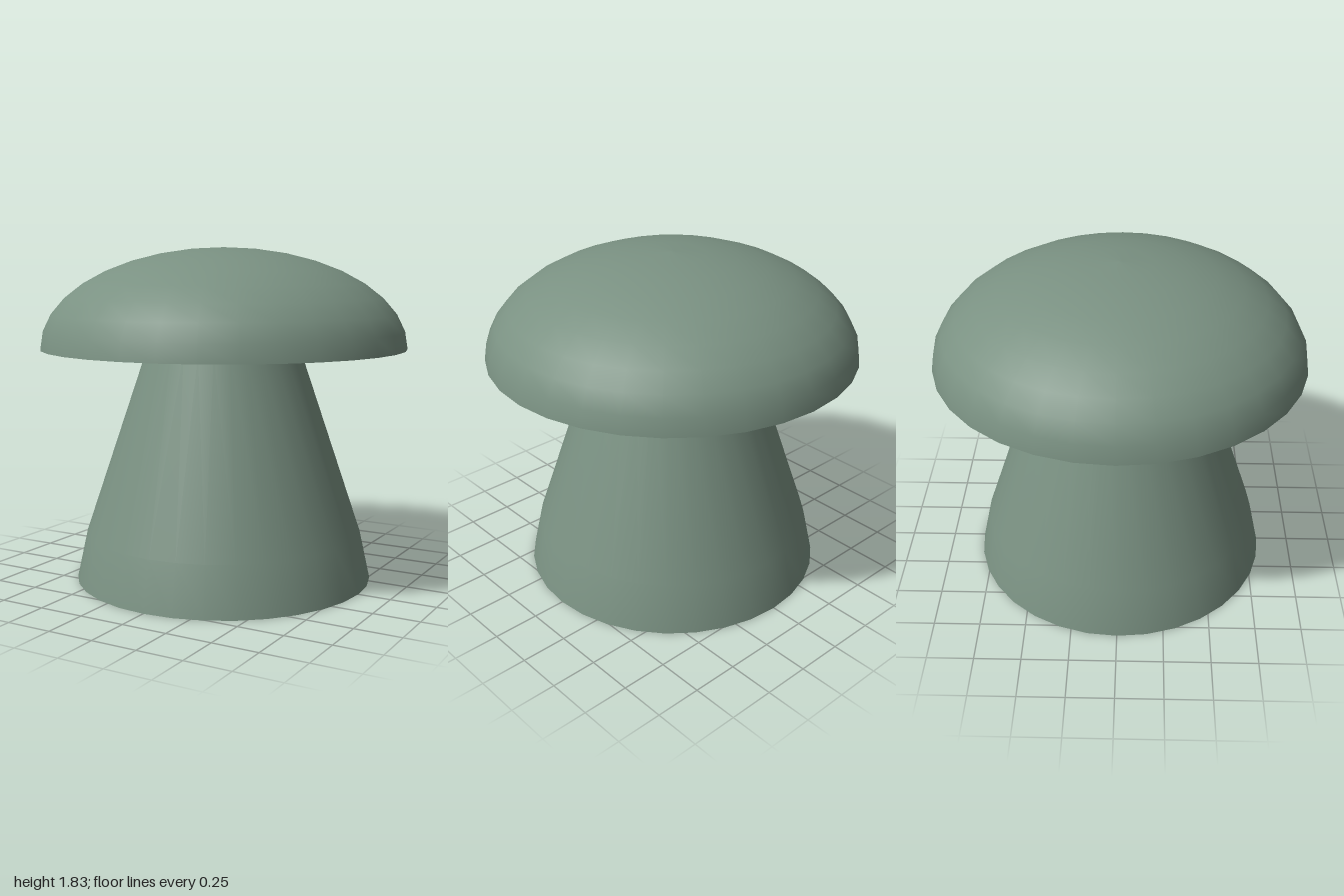
import * as THREE from 'three';

const SEGMENTS = 32;
const STEM_TOP = 1.28;
const CAP_HEIGHT = 0.545;

export function createModel() {
  const model = new THREE.Group();
  model.name = 'mushroom';
  const sageGreen = new THREE.MeshStandardMaterial({ color: 0x7a9182 });
  sageGreen.name = 'sageGreen';

  const add = (name, geometry, y = 0) => {
    const mesh = new THREE.Mesh(geometry, sageGreen);
    mesh.name = name;
    mesh.position.y = y;
    model.add(mesh);
  };
  const lathe = (points) =>
    new THREE.LatheGeometry(points.map(([r, y]) => new THREE.Vector2(r, y)), SEGMENTS);
  // flat disc facing down, kept separate so its rim stays sharp
  const underside = (radius) => new THREE.CircleGeometry(radius, SEGMENTS).rotateX(Math.PI / 2);

  // tapering stem with a slightly steeper foot
  add('stem', lathe([[0.82, 0], [0.762, 0.265], [0.42, STEM_TOP]]));
  add('stemBase', underside(0.82));

  // domed cap: upper half of a flattened sphere
  const dome = [];
  for (let i = 0; i <= 9; i++) {
    const a = (i / 9) * Math.PI / 2;
    dome.push([i === 9 ? 0 : Math.cos(a), Math.sin(a) * CAP_HEIGHT]);
  }
  add('cap', lathe(dome), STEM_TOP);
  add('capUnderside', underside(1), STEM_TOP);

  return model;
}
